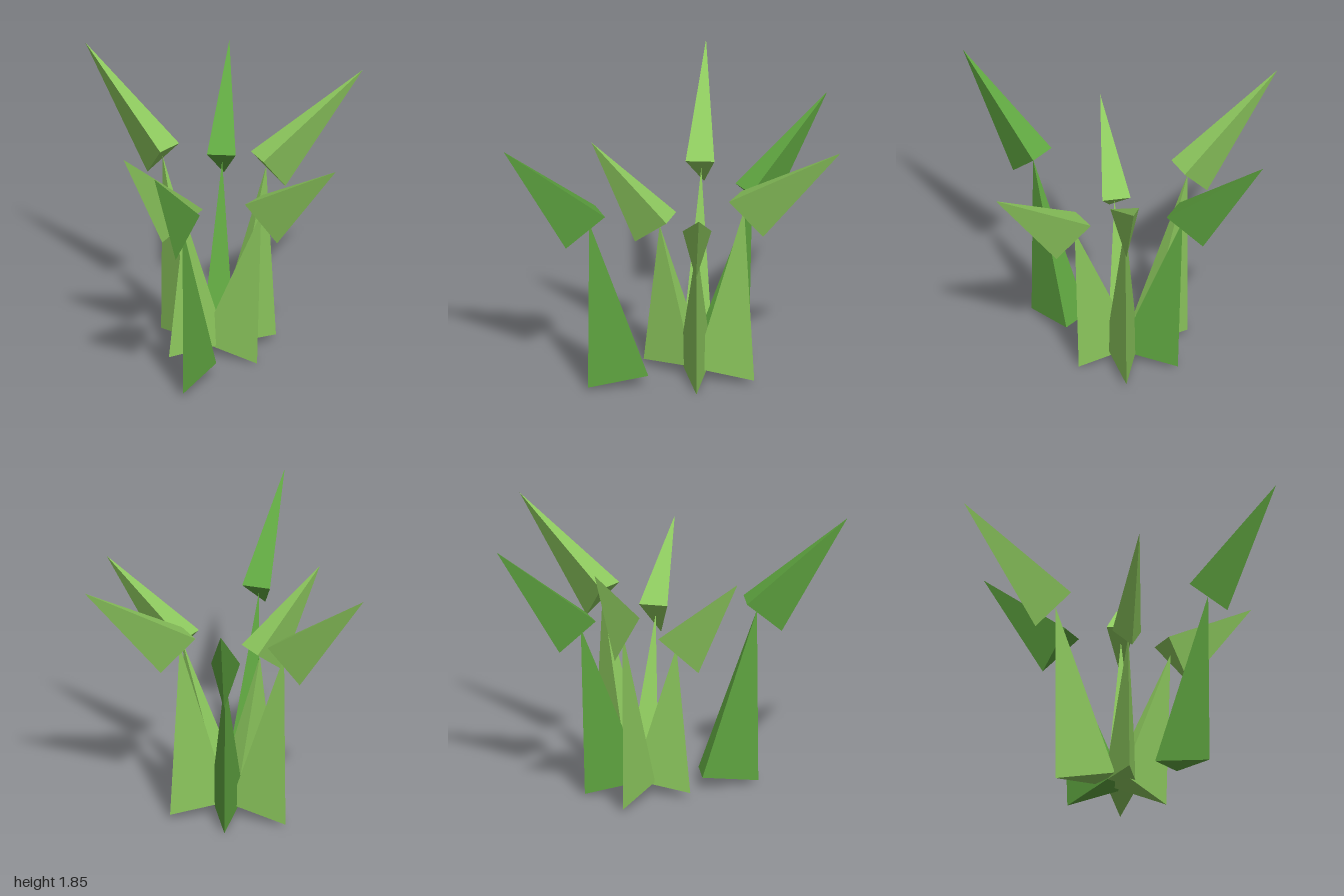
import * as THREE from 'three';

const leafGreen = new THREE.MeshStandardMaterial({ color: 0x8cc75d });
leafGreen.name = 'leafGreen';
const deepGreen = new THREE.MeshStandardMaterial({ color: 0x5fa540 });
deepGreen.name = 'deepGreen';

// Three-sided spike: an edge (mid +/- side), a third base corner (keel) and a tip
function spike(name, material, mid, side, keel, tip) {
  const left = mid.clone().add(side);
  const right = mid.clone().sub(side);
  const normal = right.clone().sub(left).cross(keel.clone().sub(left));
  // the base triangle must face away from the tip
  const [a, b] = normal.dot(tip.clone().sub(left)) < 0 ? [left, right] : [right, left];
  const faces = [a, b, keel, b, a, tip, keel, b, tip, a, keel, tip];
  const geometry = new THREE.BufferGeometry().setFromPoints(faces);
  geometry.computeVertexNormals(); // unshared corners give flat facets
  const mesh = new THREE.Mesh(geometry, material);
  mesh.name = name;
  return mesh;
}

// neck: middle of the upper leaf's inner edge, keel: its lower corner,
// tip: its point, heel: outer ground corner of the stem
const blades = [
  { name: 'frontRightBlade', material: deepGreen,
    neck: [-0.52, 1.26, 0.515], keel: [-0.68, 1.035, 0.69], tip: [-0.98, 1.79, 0.99], heel: [-0.575, 0.02, 0.58] },
  { name: 'frontLeftBlade', material: leafGreen,
    neck: [0.07, 1.15, 0.3], keel: [0.15, 0.9, 0.48], tip: [0.37, 1.53, 0.89], heel: [0.08, 0, 0.33] },
  { name: 'leftBlade', material: leafGreen,
    neck: [0.22, 1.32, 0.045], keel: [0.42, 1.075, 0.05], tip: [0.975, 1.785, 0.05], heel: [0.355, 0.035, 0.045] },
  { name: 'backLeftBlade', material: deepGreen,
    neck: [0.12, 1.22, -0.275], keel: [0.23, 1.0, -0.46], tip: [0.45, 1.74, -0.83], heel: [0.145, 0.01, -0.305] },
  { name: 'backRightBlade', material: leafGreen,
    neck: [-0.22, 1.315, -0.337], keel: [-0.285, 1.08, -0.53], tip: [-0.5, 1.845, -1.0], heel: [-0.25, 0.02, -0.4] },
  { name: 'rightBlade', material: leafGreen,
    neck: [-0.232, 1.08, 0.06], keel: [-0.48, 0.87, 0.085], tip: [-0.775, 1.53, 0.12], heel: [-0.425, 0.04, 0.07] },
];

export function createModel() {
  const tuft = new THREE.Group();
  tuft.name = 'grassTuft';
  for (const { name, material, ...points } of blades) {
    const [neck, keel, tip, heel] = ['neck', 'keel', 'tip', 'heel'].map((k) => new THREE.Vector3(...points[k]));
    const out = tip.clone().sub(neck).setY(0).normalize();
    const side = new THREE.Vector3(out.z, 0, -out.x);

    // Stem: wide inner edge at the foot, rising to a point under the leaf
    const foot = heel.clone().addScaledVector(out, -0.375).setY(0.09);
    const stemTop = neck.clone().lerp(keel, 0.32);

    const blade = new THREE.Group();
    blade.name = name;
    blade.add(
      spike('stem', material, foot, side.clone().multiplyScalar(0.105), heel, stemTop),
      spike('leafTip', material, neck, side.clone().multiplyScalar(0.093), keel, tip),
    );
    tuft.add(blade);
  }
  return tuft;
}
